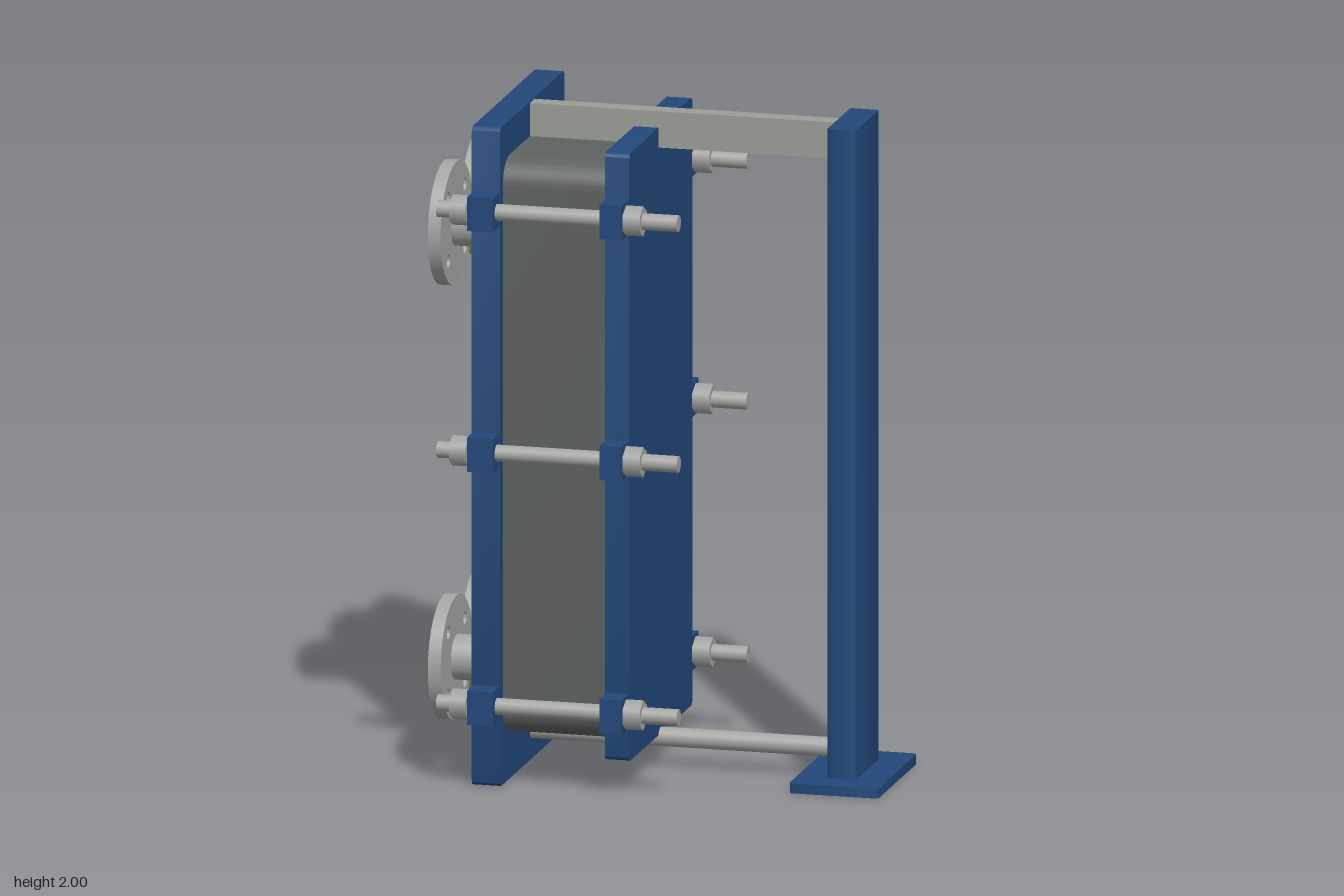
import * as THREE from 'three';
import { toCreasedNormals } from 'three/addons/utils/BufferGeometryUtils.js';

const mat = (name, color) => {
  const m = new THREE.MeshStandardMaterial({ color });
  m.name = name;
  return m;
};

// Rounded rectangle centred on the origin
function roundedRect(w, h, r) {
  const s = new THREE.Shape(), a = w / 2, b = h / 2;
  s.moveTo(-a + r, -b);
  s.lineTo(a - r, -b).absarc(a - r, -b + r, r, -Math.PI / 2, 0, false);
  s.lineTo(a, b - r).absarc(a - r, b - r, r, 0, Math.PI / 2, false);
  s.lineTo(-a + r, b).absarc(-a + r, b - r, r, Math.PI / 2, Math.PI, false);
  s.lineTo(-a, -b + r).absarc(-a + r, -b + r, r, Math.PI, Math.PI * 1.5, false);
  return s;
}

const extrude = (shape, depth, curveSegments = 8) => toCreasedNormals(
  new THREE.ExtrudeGeometry(shape, { depth, bevelEnabled: false, curveSegments }), 0.6);

// Upright slab facing along x, from x0 to x1
function slabX(x0, x1, y0, y1, depthZ, r) {
  const g = extrude(roundedRect(depthZ, y1 - y0, r), x1 - x0);
  return g.rotateY(Math.PI / 2).translate(x0, (y0 + y1) / 2, 0);
}

// Rounded footprint raised along y, from y0 to y1
function slabY(x0, x1, y0, y1, depthZ, r) {
  const g = extrude(roundedRect(x1 - x0, depthZ, r), y1 - y0);
  return g.rotateX(-Math.PI / 2).translate((x0 + x1) / 2, y0, 0);
}

const box = (x0, x1, y0, y1, z0, z1) => new THREE.BoxGeometry(x1 - x0, y1 - y0, z1 - z0)
  .translate((x0 + x1) / 2, (y0 + y1) / 2, (z0 + z1) / 2);

// Round or hexagonal bar along x
const barX = (x0, x1, r, sides) => new THREE.CylinderGeometry(r, r, x1 - x0, sides)
  .rotateZ(Math.PI / 2).translate((x0 + x1) / 2, 0, 0);

export function createModel() {
  const model = new THREE.Group();
  model.name = 'plateHeatExchanger';
  const blue = mat('bluePaint', 0x22487a);
  const steel = mat('steel', 0xa5a5a3);
  const barSteel = mat('barSteel', 0x9b9d98);
  const packGrey = mat('plateGrey', 0x5d615f);

  const add = (parent, name, geometry, material) => {
    const mesh = new THREE.Mesh(geometry, material);
    mesh.name = name;
    parent.add(mesh);
    return mesh;
  };

  // Frame plates, plate pack, column and guide bars
  add(model, 'fixedFramePlate', slabX(-0.52, -0.434, 0, 2, 0.745, 0.018), blue);
  add(model, 'pressurePlate', slabX(-0.116, -0.042, 0.1, 1.945, 0.73, 0.018), blue);
  add(model, 'platePack', slabX(-0.434, -0.116, 0.148, 1.895, 0.68, 0.08), packGrey);
  add(model, 'supportColumn', slabY(0.5, 0.588, 0.03, 2, 0.272, 0.012), blue);
  add(model, 'columnFoot', slabY(0.408, 0.68, 0, 0.03, 0.45, 0.012), blue);
  add(model, 'carryingBar', box(-0.434, 0.5, 1.885, 1.995, -0.028, 0.028), barSteel);
  add(model, 'guideBar', barX(-0.434, 0.5, 0.029, 24).translate(0, 0.091, 0), steel);

  // Tie rods with lugs and hexagonal nuts
  const rodGeo = barX(-0.615, 0.119, 0.025, 20);
  const nutGeos = [barX(-0.571, -0.52, 0.046, 6), barX(-0.042, 0.011, 0.046, 6)];
  // Turn the hexagons so a corner points up
  nutGeos.forEach((g) => {
    const p = g.attributes.position;
    let top = 0;
    for (let i = 0; i < p.count; i++) top = Math.max(top, p.getY(i));
    if (top < 0.045) g.rotateX(Math.PI / 6);
  });
  const lugGeos = [[-0.515, -0.436], [-0.112, -0.044]].map(([a, b]) =>
    box(a, b, -0.052, 0.052, -0.042, 0.042));
  for (const side of [-1, 1]) {
    for (const y of [0.253, 1.022, 1.753]) {
      const rod = new THREE.Group();
      rod.name = 'tieRodAssembly';
      rod.position.set(0, y, side * 0.402);
      add(rod, 'tieRod', rodGeo, steel);
      nutGeos.forEach((g) => add(rod, 'nut', g, steel));
      lugGeos.forEach((g) => add(rod, 'lug', g, blue));
      model.add(rod);
    }
  }

  // Flanged ports on the outer face of the fixed plate
  const profile = [[0.068, 0.515], [0.068, 0.652], [0.085, 0.652], [0.077, 0.68],
    [0.052, 0.68], [0.052, 0.515]].map(([r, y]) => new THREE.Vector2(r, y));
  const neckGeo = toCreasedNormals(new THREE.LatheGeometry(profile, 40), 0.6)
    .rotateZ(Math.PI / 2);

  const disc = new THREE.Shape().absarc(0, 0, 0.186, 0, Math.PI * 2, false);
  const cutHole = (x, y, r) =>
    disc.holes.push(new THREE.Path().absarc(x, y, r, 0, Math.PI * 2, true));
  cutHole(0, 0, 0.06);
  for (let i = 0; i < 4; i++) {
    const a = Math.PI / 4 + i * Math.PI / 2;
    cutHole(Math.cos(a) * 0.135, Math.sin(a) * 0.135, 0.02);
  }
  const flangeGeo = extrude(disc, 0.039, 24).rotateY(Math.PI / 2).translate(-0.653, 0, 0);

  for (const z of [-0.19, 0.19]) {
    for (const y of [0.342, 1.66]) {
      const port = new THREE.Group();
      port.name = 'port';
      port.position.set(0, y, z);
      add(port, 'portNeck', neckGeo, steel);
      add(port, 'portFlange', flangeGeo, steel);
      model.add(port);
    }
  }
  return model;
}
